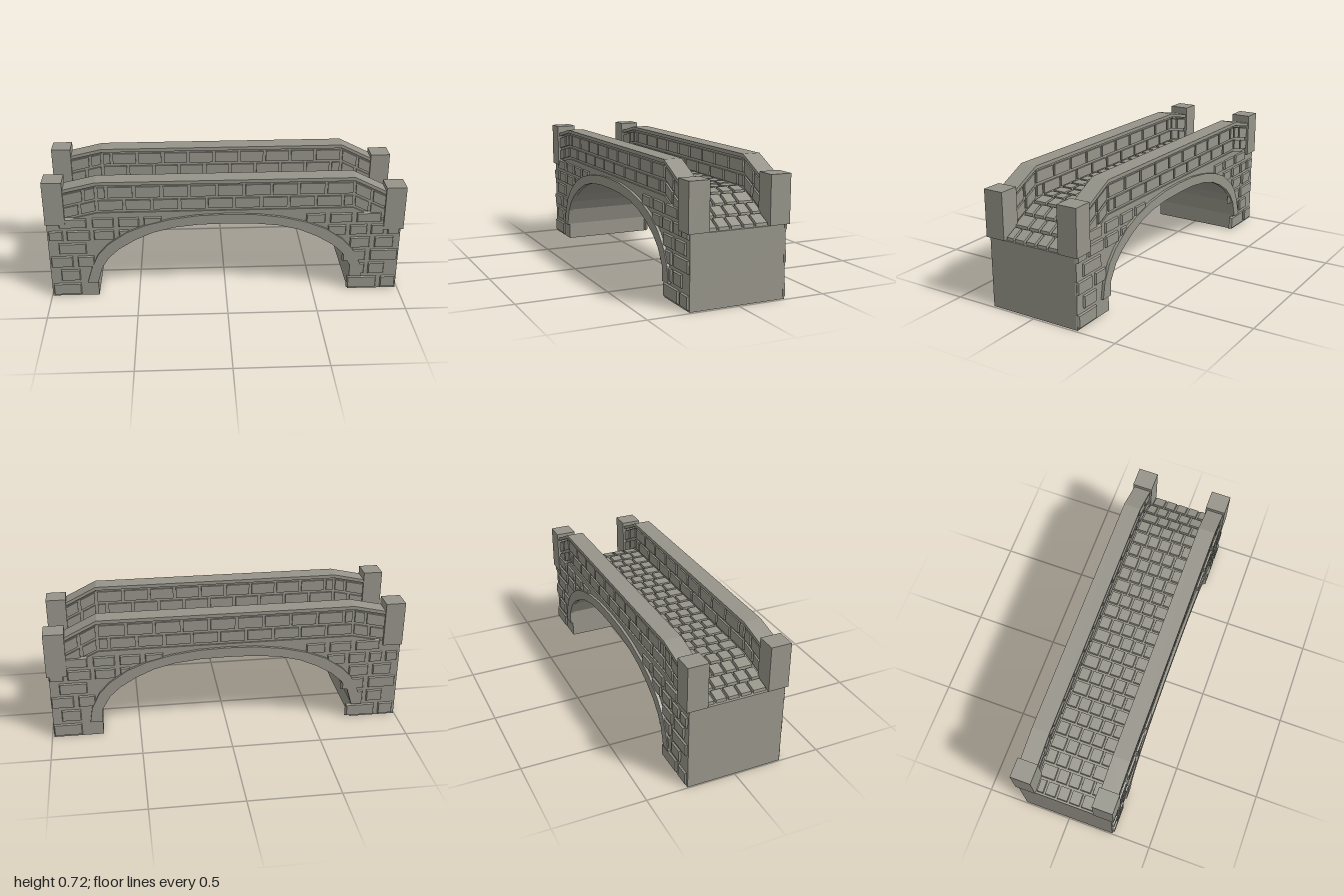
import * as THREE from 'three';

const stone = new THREE.MeshStandardMaterial({ color: 0x97958a });
stone.name = 'stone';

// Road height: level in the middle, gentle ramp on one end, steep on the other
function deckY(x) {
  if (x < -0.71) return 0.54 + (x + 0.71) * 0.224;
  if (x > 0.71) return 0.54 - (x - 0.71) * 0.5;
  return 0.54;
}

function add(parent, name, geometry) {
  const mesh = new THREE.Mesh(geometry, stone);
  mesh.name = name;
  parent.add(mesh);
  return mesh;
}

// Box between limits; y values may follow the road, and chosen faces are chamfered
function block(x0, x1, y0, y1, z0, z1, { follow = false, bevel = 0, front = false, back = false, top = false } = {}) {
  const g = new THREE.BoxGeometry(1, 1, 1);
  const p = g.attributes.position;
  for (let i = 0; i < p.count; i++) {
    const sx = p.getX(i), sy = p.getY(i), sz = p.getZ(i);
    let x = sx > 0 ? x1 : x0, y = sy > 0 ? y1 : y0, z = sz > 0 ? z1 : z0;
    if ((front && sz > 0) || (back && sz < 0)) {
      x -= Math.sign(sx) * bevel;
      y -= Math.sign(sy) * bevel;
    }
    if (top && sy > 0) {
      x -= Math.sign(sx) * bevel;
      z -= Math.sign(sz) * bevel;
    }
    p.setXYZ(i, x, y + (follow ? deckY(x) : 0), z);
  }
  g.computeVertexNormals();
  return g;
}

function extrude(points, z0, z1) {
  const shape = new THREE.Shape(points.map(([x, y]) => new THREE.Vector2(x, y)));
  const g = new THREE.ExtrudeGeometry(shape, { depth: z1 - z0, bevelEnabled: false });
  return g.translate(0, 0, z0);
}

// Arch curves from the right springing to the left one
const half = {
  inner: [[0.66, 0.25], [0.6, 0.305], [0.51, 0.36], [0.41, 0.405], [0.29, 0.435], [0.15, 0.45]],
  outer: [[0.72, 0.27], [0.66, 0.335], [0.56, 0.405], [0.45, 0.45], [0.31, 0.485], [0.16, 0.505]],
};
const mirrored = (pts) => pts.map(([x, y]) => [-x, y]).reverse();
const inner = [[0.71, 0.09], [0.71, 0.165], ...half.inner, [0, 0.453],
  ...mirrored(half.inner), [-0.7, 0.19], [-0.73, 0.09]];
const outer = [[0.78, 0.09], [0.765, 0.18], ...half.outer, [0, 0.51],
  ...mirrored(half.outer), [-0.76, 0.185], [-0.79, 0.09]];

// Front face bricks: [row, x0, x1]; the back repeats them turned half round
const rows = [[0.005, 0.085], [0.097, 0.175], [0.185, 0.262], [0.27, 0.345], [0.355, 0.424], [0.434, 0.5]];
const faceBricks = [
  [0, -0.99, -0.825], [1, -0.94, -0.825], [2, -0.99, -0.86], [2, -0.84, -0.74],
  [3, -0.94, -0.78], [4, -0.99, -0.905], [4, -0.89, -0.755], [4, -0.74, -0.62], [4, -0.6, -0.54],
  [5, -0.93, -0.77], [5, -0.745, -0.62], [5, -0.6, -0.48], [5, -0.46, -0.355],
  [0, 0.7, 0.875], [0, 0.892, 0.985], [1, 0.73, 0.8], [1, 0.815, 0.915],
  [2, 0.665, 0.8], [2, 0.82, 0.985], [3, 0.7, 0.82], [3, 0.84, 0.955],
  [4, 0.57, 0.68], [4, 0.695, 0.8], [4, 0.815, 0.895], [4, 0.91, 0.985],
  [5, 0.445, 0.56], [5, 0.58, 0.71], [5, 0.73, 0.875],
];

export function createModel() {
  const bridge = new THREE.Group();
  bridge.name = 'stoneBridge';

  // Solid body with the arched opening
  const bed = (x) => [x, deckY(x) - 0.012];
  add(bridge, 'bridgeBody', extrude([
    [-0.995, 0], [-0.73, 0], ...inner.map(([x, y]) => [x, y + 0.006]).reverse(), [0.71, 0], [0.988, 0],
    bed(0.988), bed(0.71), bed(-0.71), bed(-0.995),
  ], -0.27, 0.27));

  // Raised arch ring on both faces
  const ring = [...inner, ...[...outer].reverse()];
  add(bridge, 'frontArchRing', extrude(ring, 0.262, 0.285));
  add(bridge, 'backArchRing', extrude(ring, -0.285, -0.262));

  // Chamfered bricks on the faces
  for (const side of ['front', 'back']) {
    const bricks = new THREE.Group();
    bricks.name = side + 'FaceBricks';
    if (side === 'back') bricks.rotation.y = Math.PI;
    for (const [r, x0, x1] of faceBricks) {
      const [y0, y1] = rows[r];
      add(bricks, 'faceBrick', block(x0, x1, y0, y1, 0.262, 0.28, { bevel: 0.008, front: true }));
    }
    bridge.add(bricks);
  }

  // Parapet joints: two courses of bricks, split where the road bends
  const lower = [-0.9, -0.805, -0.71], upper = [-0.9, -0.78, -0.655];
  for (let i = 1; i <= 9; i++) lower.push(-0.71 + i * 0.151);
  for (let i = 1; i <= 9; i++) upper.push(-0.655 + i * 0.151);
  lower.push(0.71, 0.8, 0.9);
  upper[upper.length - 1] = 0.71;
  upper.push(0.81, 0.9);
  upper.splice(2, 0, -0.71);
  const bends = [-0.9, -0.71, 0.71, 0.9];

  for (const s of [1, -1]) {
    const parapet = new THREE.Group();
    parapet.name = s > 0 ? 'frontParapet' : 'backParapet';
    const zs = (a, b) => (s > 0 ? [a, b] : [-b, -a]);

    // Mortar core and coping
    for (let i = 0; i < 3; i++) {
      const [a, b] = [bends[i], bends[i + 1]];
      add(parapet, 'parapetCore', block(a, b, -0.015, i === 1 ? 0.156 : 0.145, ...zs(0.192, 0.262), { follow: true }));
      add(parapet, 'coping', block(a, b, 0.155, 0.175, ...zs(0.178, 0.277), { follow: true }));
    }
    [[lower, 0, 0.066], [upper, 0.074, 0.146]].forEach(([joints, y0, y1]) => {
      for (let i = 0; i + 1 < joints.length; i++) {
        add(parapet, 'parapetBrick', block(joints[i] + 0.004, joints[i + 1] - 0.004, y0, y1,
          ...zs(0.182, 0.272), { follow: true, bevel: 0.004, front: true, back: true }));
      }
    });
    bridge.add(parapet);

    // End posts, the uphill pair taller
    add(bridge, 'leftPost', block(0.887, 1, 0.392, 0.65, ...zs(0.17, 0.285)));
    add(bridge, 'rightPost', block(-1, -0.89, 0.465, 0.72, ...zs(0.17, 0.285)));
  }

  // Paving stones, five across with uneven staggered joints
  let seed = 7;
  const random = () => (seed = (seed * 16807) % 2147483647) / 2147483647;
  const paving = new THREE.Group();
  paving.name = 'paving';
  const count = 24, step = 1.98 / count;
  for (let i = 0; i < count; i++) {
    const x0 = -0.99 + i * step;
    const shift = (i % 2 ? 0.012 : -0.012) + (random() - 0.5) * 0.012;
    const limit = Math.abs(x0 + step / 2) > 0.87 ? 0.17 : 0.183;
    const joints = [-limit, -0.105 + shift, -0.035 + shift, 0.035 + shift, 0.105 + shift, limit];
    for (let j = 0; j < 5; j++) {
      add(paving, 'pavingStone', block(x0 + 0.005, x0 + step - 0.005, -0.02, 0.004,
        joints[j] + 0.004, joints[j + 1] - 0.004, { follow: true, bevel: 0.003, top: true }));
    }
  }
  bridge.add(paving);

  return bridge;
}
